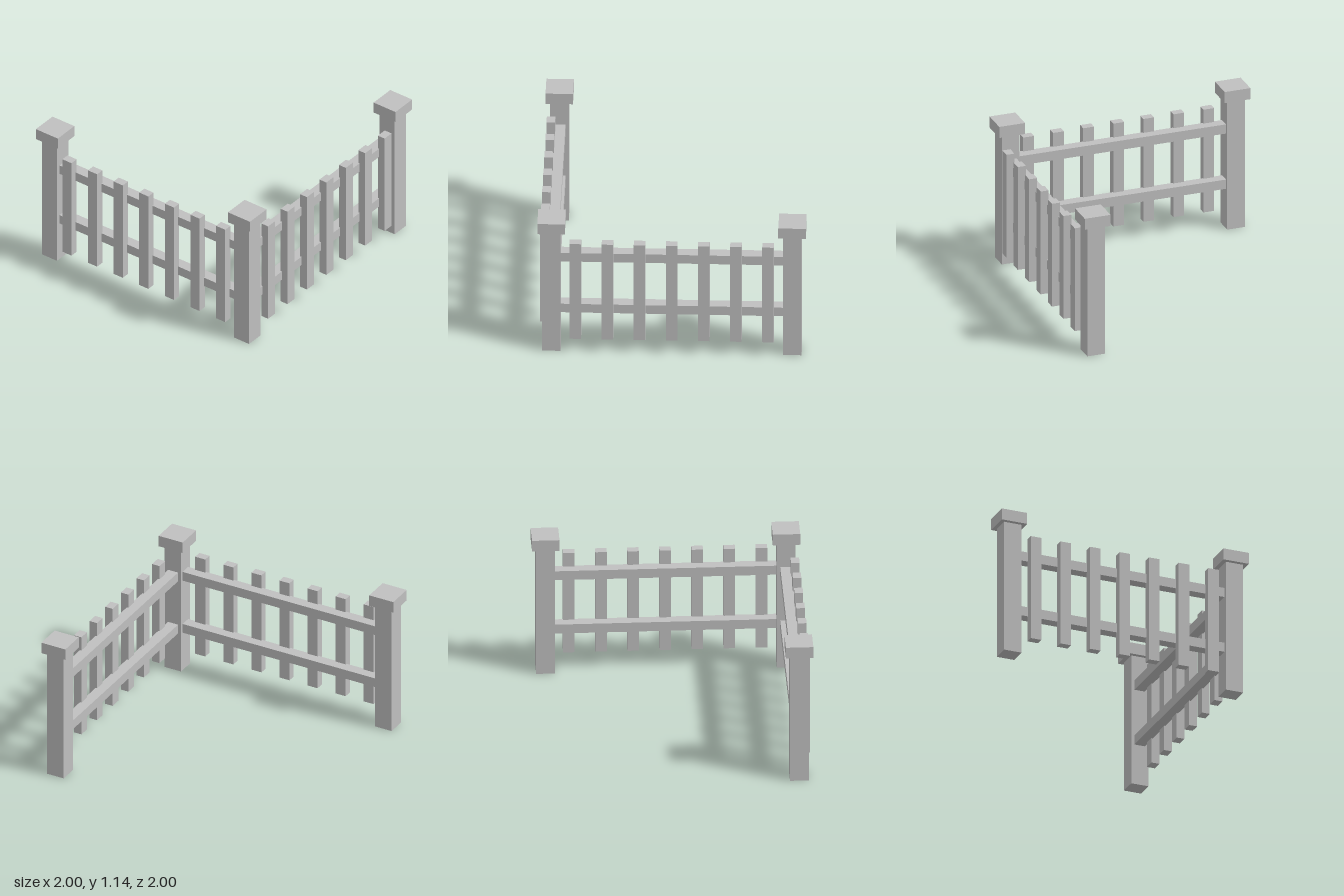
import * as THREE from 'three';

const C = 0.8975; // distance of the post axes from the centre
const POST = 0.14;

export function createModel() {
  const model = new THREE.Group();
  model.name = 'cornerFence';
  const paint = new THREE.MeshStandardMaterial({ color: 0xbfbfbf });
  paint.name = 'pale grey';

  // Box given by its width, depth, bottom and top heights, and centre
  function box(parent, name, w, d, y0, y1, x, z) {
    const mesh = new THREE.Mesh(new THREE.BoxGeometry(w, y1 - y0, d), paint);
    mesh.name = name;
    mesh.position.set(x, (y0 + y1) / 2, z);
    parent.add(mesh);
  }

  // Three capped posts
  const posts = [['leftBack', C, -C], ['corner', C, C], ['rightFront', -C, C]];
  for (const [place, x, z] of posts) {
    box(model, place + 'Post', POST, POST, 0, 1.05, x, z);
    box(model, place + 'Cap', 0.205, 0.205, 1.05, 1.14, x, z);
  }

  // One fence run along x: two rails with seven pickets on the outer side
  function fenceRun(name) {
    const run = new THREE.Group();
    run.name = name;
    const length = 2 * C - POST;
    box(run, 'lowerRail', length, 0.085, 0.323, 0.398, 0, 0.8945);
    box(run, 'upperRail', length, 0.085, 0.773, 0.848, 0, 0.8945);
    for (let i = -3; i <= 3; i++) {
      box(run, 'picket', 0.086, 0.064, 0.123, 0.961, i * 0.2393, 0.957);
    }
    model.add(run);
    return run;
  }
  fenceRun('frontRun');
  fenceRun('leftRun').rotation.y = Math.PI / 2;

  return model;
}
